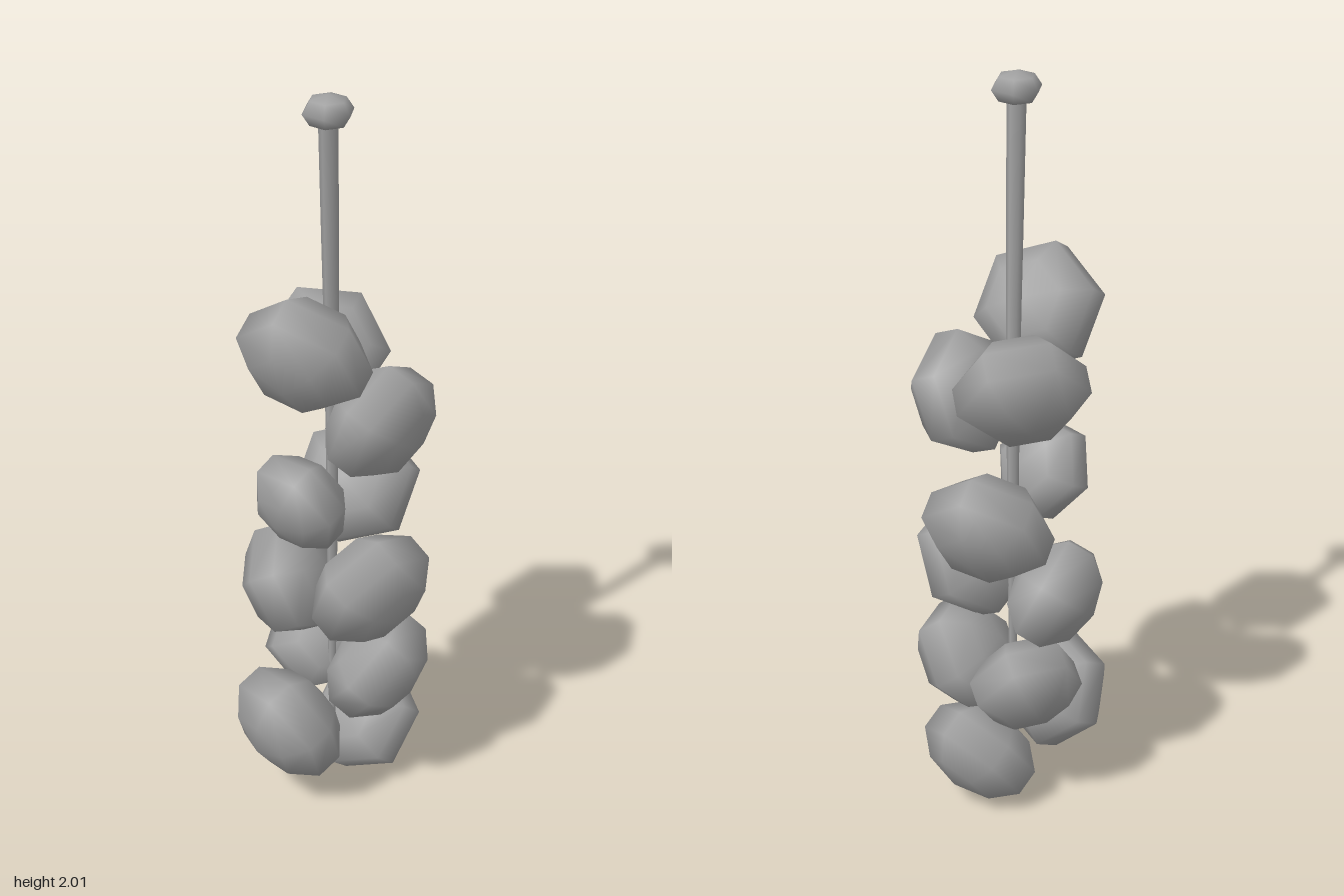
import * as THREE from 'three';

const grey = new THREE.MeshStandardMaterial({ color: 0xa0a0a0 });
grey.name = 'grey';

// Tapered, gently bent stem: a tube whose rings shrink towards the lower end
function makeStem() {
  const curve = new THREE.CatmullRomCurve3([
    new THREE.Vector3(-0.008, 1.96, 0.06),
    new THREE.Vector3(-0.008, 1.6, 0.032),
    new THREE.Vector3(-0.008, 1.3, 0.008),
    new THREE.Vector3(-0.01, 0.75, -0.008),
    new THREE.Vector3(-0.01, 0.15, -0.005),
  ]);
  const rings = 16, sides = 6;
  const geo = new THREE.TubeGeometry(curve, rings, 0.025, sides, false);
  const pos = geo.attributes.position;
  const v = new THREE.Vector3();
  for (let i = 0; i <= rings; i++) {
    const centre = curve.getPointAt(i / rings);
    const taper = 1 - 0.65 * (i / rings);
    for (let j = 0; j <= sides; j++) {
      const k = i * (sides + 1) + j;
      v.fromBufferAttribute(pos, k).sub(centre).multiplyScalar(taper).add(centre);
      pos.setXYZ(k, v.x, v.y, v.z);
    }
  }
  const stem = new THREE.Mesh(geo, grey);
  stem.name = 'stem';
  return stem;
}

// Flattened six-sided bud, facing outward from the stem and nodding down
function makeBud([x, y, z, radius, roll, tilt]) {
  const rad = THREE.MathUtils.degToRad;
  const geo = new THREE.SphereGeometry(radius * 1.05, 6, 5);
  geo.scale(1, 0.7, 1);
  geo.rotateX(Math.PI / 2);
  geo.rotateZ(rad(roll));
  geo.rotateX(rad(tilt));
  geo.rotateY(Math.atan2(x, z));
  const bud = new THREE.Mesh(geo, grey);
  bud.name = 'bud';
  bud.position.set(x, y, z);
  return bud;
}

export function createModel() {
  const model = new THREE.Group();
  model.name = 'budSpike';
  model.add(makeStem());

  // Knob at the end of the stem
  const knob = new THREE.Mesh(new THREE.SphereGeometry(0.067, 6, 4), grey);
  knob.name = 'stemKnob';
  knob.scale.y = 0.64;
  knob.rotation.y = Math.PI / 6;
  knob.position.set(-0.008, 1.957, 0.06);
  model.add(knob);

  // Buds spiralling down the stem: x, y, z, radius, roll, downward tilt
  const buds = [
    [-0.055, 1.355, 0.145, 0.17, 37, 30],
    [-0.05, 1.24, -0.135, 0.17, 10, 36],
    [0.125, 1.14, 0.06, 0.165, 32, 22],
    [-0.075, 0.915, 0.105, 0.138, 5, 25],
    [0.035, 0.85, -0.14, 0.17, 38, 33],
    [0.105, 0.655, 0.08, 0.17, 37, 28],
    [-0.125, 0.605, -0.02, 0.16, 30, 25],
    [0.118, 0.375, 0.022, 0.16, 0, 36],
    [-0.06, 0.37, -0.105, 0.15, 0, 32],
    [-0.11, 0.23, 0.115, 0.165, 13, 25],
    [0.07, 0.135, -0.085, 0.16, 30, 38],
  ];
  const cluster = new THREE.Group();
  cluster.name = 'buds';
  buds.forEach((b) => cluster.add(makeBud(b)));
  model.add(cluster);
  return model;
}
